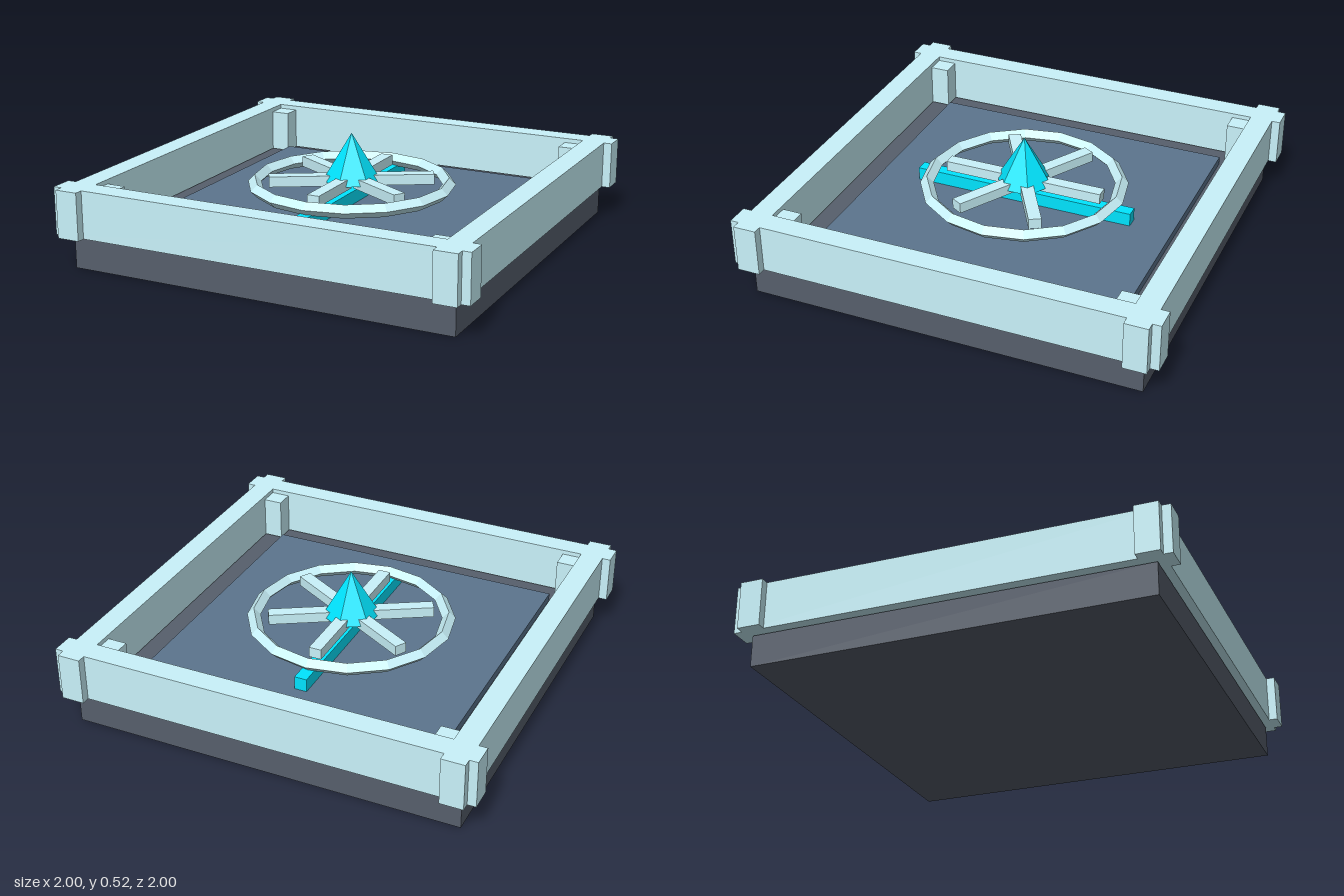
import * as THREE from 'three';

const mat = (color) => new THREE.MeshStandardMaterial({ color, flatShading: true });

export function createModel() {
  const model = new THREE.Group();
  const stone = mat(0x575f6c), floor = mat(0x5c758e), pale = mat(0xc9f3fb), cyan = mat(0x00e5ff);

  const add = (name, geometry, material, x = 0, y = 0, z = 0, parent = model) => {
    const mesh = new THREE.Mesh(geometry, material);
    mesh.name = name;
    mesh.position.set(x, y, z);
    parent.add(mesh);
  };
  // Box given by its footprint and its bottom and top heights
  const slab = (name, w, d, y0, y1, material, x = 0, z = 0, parent = model) =>
    add(name, new THREE.BoxGeometry(w, y1 - y0, d), material, x, (y0 + y1) / 2, z, parent);

  // Base and floor panel
  slab('base', 1.85, 1.85, 0, 0.148, stone);
  slab('floorPanel', 1.48, 1.48, 0.148, 0.187, floor);

  // Four walls that cross and stick out at the corners, with inner corner posts
  for (const s of [-1, 1]) {
    slab('wallAcross', 2, 0.108, 0.157, 0.381, pale, 0, s * 0.906);
    slab('wallAlong', 0.108, 2, 0.157, 0.381, pale, s * 0.906, 0);
    for (const t of [-1, 1]) slab('cornerPost', 0.18, 0.18, 0.157, 0.36, pale, s * 0.85, t * 0.85);
  }

  // Ring with a diamond section
  const ring = new THREE.TorusGeometry(0.46, 0.032, 4, 16).rotateX(Math.PI / 2);
  add('ring', ring, pale, 0, 0.278, 0);

  // Long bar beneath the wheel
  slab('crossBar', 0.06, 1.08, 0.187, 0.25, cyan);

  // Six spokes that run into the spike's corners
  for (let i = 0; i < 6; i++) {
    const spoke = new THREE.Group();
    spoke.name = 'spoke';
    spoke.rotation.y = (i * Math.PI) / 3;
    slab('spokeBar', 0.06, 0.33, 0.27, 0.32, pale, 0, 0.225, spoke);
    model.add(spoke);
  }

  // Six-sided spike at the centre
  add('spike', new THREE.ConeGeometry(0.138, 0.23, 6), cyan, 0, 0.405, 0);

  return model;
}
